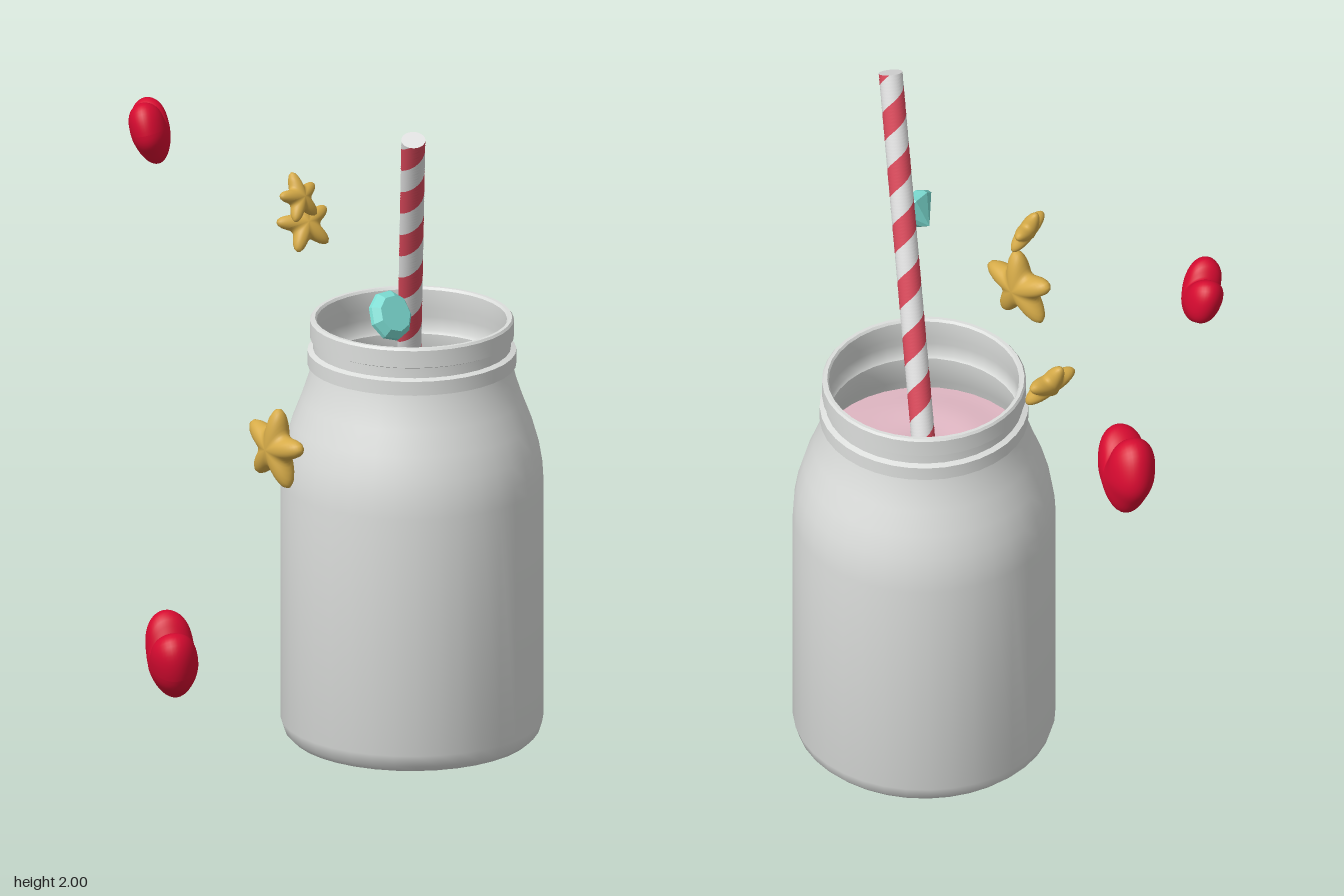
import * as THREE from 'three';
import { toCreasedNormals } from 'three/addons/utils/BufferGeometryUtils.js';

const mat = (name, color, extra = {}) => {
  const m = new THREE.MeshStandardMaterial({ color, ...extra });
  m.name = name;
  return m;
};

function add(parent, name, geometry, material) {
  const mesh = new THREE.Mesh(geometry, material);
  mesh.name = name;
  parent.add(mesh);
  return mesh;
}

const lathe = (points, segments = 32) => toCreasedNormals(
  new THREE.LatheGeometry(points.map(([r, y]) => new THREE.Vector2(r, y)), segments), 0.6);

// Pillow-like solid: a sphere whose outline follows a polar curve, facing +z
function puff(outline, thickness) {
  const g = new THREE.SphereGeometry(1, 60, 24).rotateX(Math.PI / 2);
  const p = g.attributes.position;
  for (let i = 0; i < p.count; i++) {
    const x = p.getX(i), y = p.getY(i), z = p.getZ(i);
    const r = Math.hypot(x, y);
    const k = r > 1e-5 ? outline(Math.atan2(x, y)) : 1;
    p.setXYZ(i, x * k, y * k, z * thickness(x * k, y * k));
  }
  g.computeVertexNormals();
  return g;
}

// Half of a straw's wall, twisted into a helical stripe
function stripe(radius, length, pitch, start, side = 1) {
  const g = new THREE.CylinderGeometry(radius, radius, length, 12, 120, true, start, Math.PI);
  const p = g.attributes.position, n = g.attributes.normal;
  const v = new THREE.Vector3(), up = new THREE.Vector3(0, 1, 0);
  for (let i = 0; i < p.count; i++) {
    const angle = (p.getY(i) - length / 2) / pitch * Math.PI * 2;
    v.fromBufferAttribute(p, i).applyAxisAngle(up, angle);
    p.setXYZ(i, v.x, v.y, v.z);
    v.fromBufferAttribute(n, i).applyAxisAngle(up, angle);
    n.setXYZ(i, v.x, v.y, v.z);
  }
  return g;
}

export function createModel() {
  const model = new THREE.Group();
  model.name = 'milkshakeJar';

  const glass = mat('jarGrey', 0xdcdedc);
  const shake = mat('shakePink', 0xdfb6c2);
  const white = mat('strawWhite', 0xe0e0e0);
  const stripeRed = mat('strawRed', 0xd9485a);
  const heartRed = mat('heartRed', 0xd60a30);
  const gold = mat('starGold', 0xd6ab48);
  const teal = mat('gemTeal', 0x7cdcd2);

  // Jar: outer wall, threaded neck, rim and inner wall in one profile
  const jar = new THREE.Group();
  jar.name = 'jar';
  jar.position.set(0.214, 0, -0.128);
  model.add(jar);
  add(jar, 'jarBody', lathe([
    [0, 0.06], [0.2, 0.055], [0.27, 0.035], [0.31, 0.008], [0.33, 0], [0.35, 0.006],
    [0.369, 0.025], [0.38, 0.06], [0.38, 0.78], [0.377, 0.83], [0.367, 0.89],
    [0.347, 0.96], [0.32, 1.03], [0.3, 1.09], [0.291, 1.13],
    [0.302, 1.132], [0.302, 1.174], [0.286, 1.18], [0.286, 1.21],
    [0.295, 1.214], [0.295, 1.265], [0.29, 1.272], [0.28, 1.272], [0.275, 1.265],
    [0.275, 1.21], [0.282, 1.18], [0.282, 1.14], [0.276, 1.13], [0.28, 1.09],
    [0.3, 1.03], [0.327, 0.96], [0.35, 0.88], [0.36, 0.8], [0.36, 0.1], [0.33, 0.08], [0, 0.08],
  ], 36), glass);

  // Drink: side wall and a softly swirled surface
  add(jar, 'drinkBody', lathe([[0, 0.085], [0.32, 0.085], [0.355, 0.12], [0.355, 0.8],
    [0.345, 0.88], [0.322, 0.96], [0.308, 1.0]], 36), shake);
  const top = new THREE.RingGeometry(0.001, 0.308, 36, 14).rotateX(-Math.PI / 2);
  const tp = top.attributes.position;
  for (let i = 0; i < tp.count; i++) {
    const x = tp.getX(i), z = tp.getZ(i), r = Math.hypot(x, z);
    const fade = Math.max(0, 1 - (r / 0.308) ** 2);
    tp.setY(i, 1.0 + 0.008 * fade * Math.sin(r * 26 + Math.atan2(z, x)));
  }
  top.computeVertexNormals();
  add(jar, 'drinkSurface', top, shake);

  // Straw: two twisted halves plus end caps, leaning forward
  const straw = new THREE.Group();
  straw.name = 'straw';
  const length = 1.25, pitch = 0.168, lean = 0.425;
  const phase = 0.37 / pitch * Math.PI * 2;
  add(straw, 'strawRedStripe', stripe(0.035, length, pitch, phase - Math.PI / 2), stripeRed);
  add(straw, 'strawWhiteStripe', stripe(0.035, length, pitch, phase + Math.PI / 2), white);
  for (const s of [1, -1]) {
    const cap = add(straw, 'strawEnd', new THREE.CircleGeometry(0.035, 24), white);
    cap.rotation.x = -s * Math.PI / 2;
    cap.position.y = s * length / 2;
  }
  straw.rotation.x = lean;
  straw.position.set(0.2, 1.985 - Math.cos(lean) * length / 2, 0.4 - Math.sin(lean) * length / 2);
  model.add(straw);

  // Floating charms
  const place = (name, geo, material, pos, size, [yaw, pitchX, roll]) => {
    const m = add(model, name, geo, material);
    m.position.set(...pos);
    m.scale.setScalar(size);
    m.rotation.set(pitchX, yaw, roll, 'YXZ');
  };

  // Puffy hearts: angle runs from the notch at the top
  const heart = puff(
    (a) => {
      const t = Math.abs(a);
      return 0.96 - 0.4 * Math.exp(-((t / 0.3) ** 2)) + 0.12 * Math.exp(-(((t - 0.75) / 0.5) ** 2))
        - 0.1 * Math.exp(-(((t - 2.4) / 0.45) ** 2)) + 0.05 * Math.exp(-(((t - Math.PI) / 0.3) ** 2));
    },
    (x, y) => 0.58 * (1 - 0.22 * Math.exp(-((x / 0.28) ** 2)) * THREE.MathUtils.smoothstep(y, -0.3, 0.5))
      * (1 + 0.12 * y));
  place('upperHeart', heart, heartRed, [-0.53, 1.73, -0.485], 0.1, [Math.PI / 2 - 0.1, -0.26, -0.15]);
  place('lowerHeart', heart, heartRed, [-0.497, 0.42, 0.403], 0.13, [Math.PI / 2 + 0.1, -0.12, 0.28]);

  // Puffy five-pointed stars
  const star = puff(
    (a) => {
      const c = (Math.cos(5 * a) + 1) / 2;
      return 0.54 + 0.46 * c ** 1.4;
    },
    () => 0.33);
  place('upperStar', star, gold, [-0.115, 1.675, -0.018], 0.077, [0.83, -0.4, 0]);
  place('middleStar', star, gold, [-0.085, 1.45, -0.458], 0.09, [0.5, -0.5, 0.1]);
  place('lowerStar', star, gold, [-0.2, 1.08, 0.48], 0.123, [2.21, 0, 0.12]);

  // Faceted gem with its flat table turned up and outward
  const gem = new THREE.Group();
  gem.name = 'gem';
  const facets = [[0, -0.062], [0.075, 0.005], [0.073, 0.016], [0.054, 0.036], [0, 0.036]];
  const cut = new THREE.LatheGeometry(facets.map(([r, y]) => new THREE.Vector2(r, y)), 9).toNonIndexed();
  cut.computeVertexNormals();
  add(gem, 'gemStone', cut, teal);
  gem.position.set(0.127, 1.455, 0.415);
  gem.quaternion.setFromUnitVectors(new THREE.Vector3(0, 1, 0), new THREE.Vector3(0.58, 0.45, 0.68).normalize());
  model.add(gem);

  return model;
}
